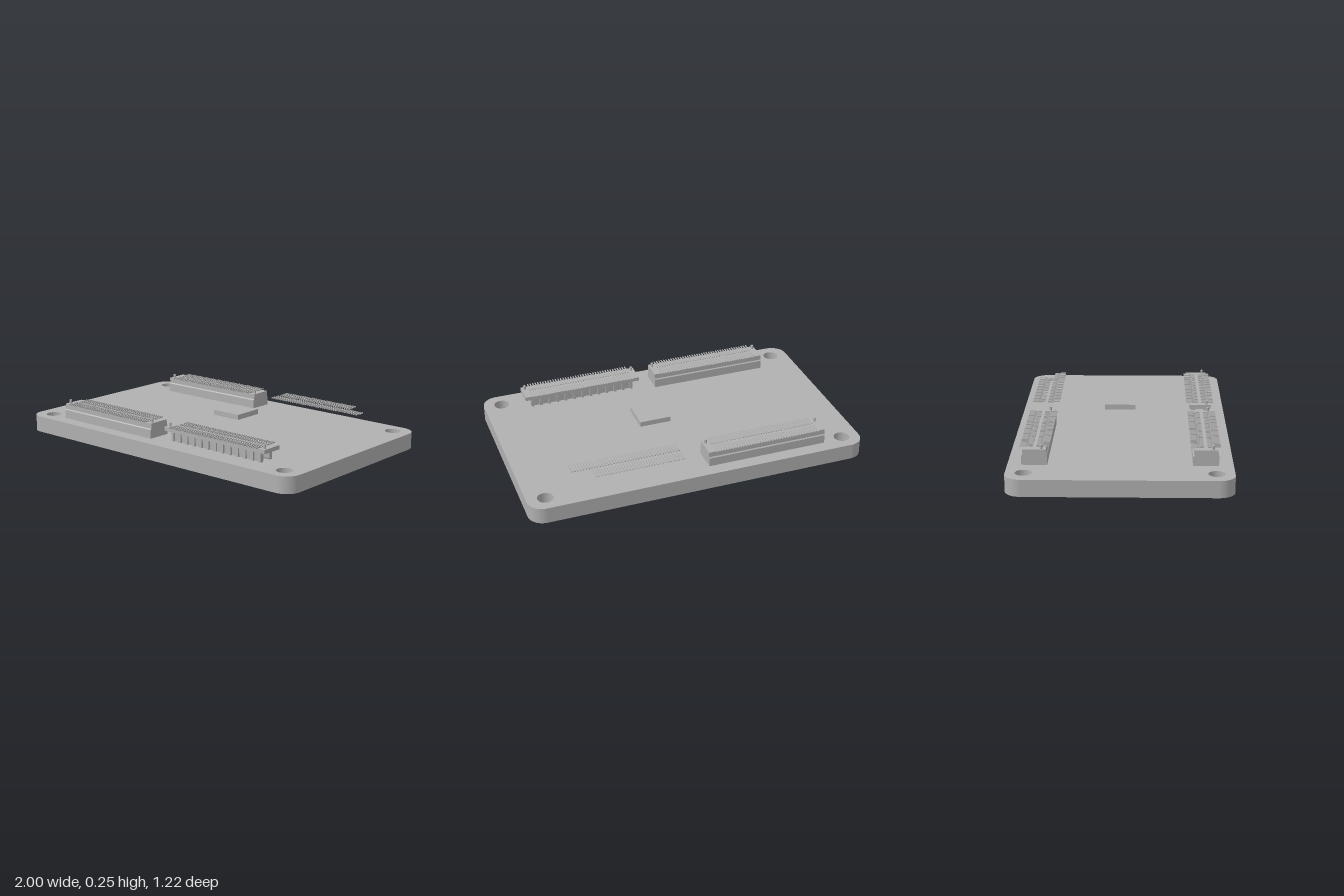
import * as THREE from 'three';
import { mergeGeometries } from 'three/addons/utils/BufferGeometryUtils.js';

const grey = new THREE.MeshStandardMaterial({ color: 0xb0b0b0 });
grey.name = 'plainGrey';

function add(parent, name, geometry) {
  const mesh = new THREE.Mesh(geometry, grey);
  mesh.name = name;
  parent.add(mesh);
  return mesh;
}

// Box given by its low and high limits on each axis
function box(x0, x1, y0, y1, z0, z1) {
  return new THREE.BoxGeometry(x1 - x0, y1 - y0, z1 - z0)
    .translate((x0 + x1) / 2, (y0 + y1) / 2, (z0 + z1) / 2);
}

// Cross-section of [z, y] points swept along x, centred on x = 0
function sweep(points, width) {
  const shape = new THREE.Shape(points.map(([z, y]) => new THREE.Vector2(z, y)));
  return new THREE.ExtrudeGeometry(shape, { depth: width, bevelEnabled: false })
    .rotateY(-Math.PI / 2).translate(width / 2, 0, 0);
}

// Rounded board with four mounting holes
function boardGeometry() {
  const w = 1, d = 0.61, r = 0.09;
  const s = new THREE.Shape();
  s.moveTo(-w + r, -d);
  s.lineTo(w - r, -d);
  s.absarc(w - r, -d + r, r, -Math.PI / 2, 0);
  s.absarc(w - r, d - r, r, 0, Math.PI / 2);
  s.absarc(-w + r, d - r, r, Math.PI / 2, Math.PI);
  s.absarc(-w + r, -d + r, r, Math.PI, Math.PI * 1.5);
  for (const x of [-0.893, 0.893]) for (const y of [-0.512, 0.512]) {
    s.holes.push(new THREE.Path().absarc(x, y, 0.045, 0, Math.PI * 2, true));
  }
  return new THREE.ExtrudeGeometry(s, { depth: 0.095, bevelEnabled: false, curveSegments: 16 })
    .rotateX(-Math.PI / 2).translate(0, 0.04, 0);
}

// One row of bent contact pins; side = +1 or -1 from the connector's centre line
const PITCH = 0.016;
function pinRow(side, count) {
  const pin = sweep([
    [0.01, 0.222], [0.03, 0.222], [0.038, 0.218], [0.048, 0.224], [0.08, 0.224],
    [0.08, 0.23], [0.046, 0.23], [0.038, 0.225], [0.03, 0.229], [0.01, 0.229],
  ], 0.006);
  if (side < 0) pin.rotateY(Math.PI);
  const pins = [];
  for (let i = 0; i < count; i++) pins.push(pin.clone().translate((i - 19.5) * PITCH, 0, 0));
  return mergeGeometries(pins);
}

function addPins(group, backCount = 40) {
  add(group, 'frontPins', pinRow(1, 40));
  add(group, 'rearPins', pinRow(-1, backCount));
}

function addPegs(group) {
  for (const x of [-0.34, 0.34]) {
    add(group, 'locatingPeg', new THREE.CylinderGeometry(0.008, 0.008, 0.025, 12).translate(x, 0.2335, 0.038));
  }
}

// Tall closed connector with a stepped housing
function socket() {
  const g = new THREE.Group();
  g.name = 'socketConnector';
  add(g, 'housing', sweep([
    [-0.07, 0.135], [0.07, 0.135], [0.07, 0.186], [0.064, 0.192], [0.064, 0.223],
    [-0.064, 0.223], [-0.064, 0.192], [-0.07, 0.186],
  ], 0.715));
  addPins(g);
  addPegs(g);
  return g;
}

// Open connector: flange with two ribbed walls hanging below it
function header() {
  const g = new THREE.Group();
  g.name = 'headerConnector';
  add(g, 'flange', box(-0.36, 0.36, 0.2, 0.223, -0.064, 0.064));
  for (const side of [-1, 1]) {
    const wall = sweep([[0.024, 0.202], [0.027, 0.15], [0.031, 0.143], [0.036, 0.143], [0.038, 0.202]], 0.645);
    if (side < 0) wall.rotateY(Math.PI);
    add(g, 'contactWall', wall);
    const ribs = [];
    for (let i = 0; i < 13; i++) {
      const x = (i - 6) * 0.0523;
      const a = side * 0.034, b = side * 0.048;
      ribs.push(box(x - 0.008, x + 0.008, 0.143, 0.202, Math.min(a, b), Math.max(a, b)));
    }
    add(g, 'wallRibs', mergeGeometries(ribs));
  }
  addPins(g);
  addPegs(g);
  return g;
}

// Contact pins without a housing
function loosePins() {
  const g = new THREE.Group();
  g.name = 'barePinRows';
  addPins(g, 33);
  return g;
}

export function createModel() {
  const model = new THREE.Group();
  model.name = 'circuitModule';

  add(model, 'board', boardGeometry());
  add(model, 'undersideChip', box(-0.16, 0.345, 0, 0.041, -0.255, 0.255));
  add(model, 'topChip', box(0.025, 0.21, 0.2, 0.23, -0.108, 0.073));

  const place = (part, x, z) => {
    part.position.set(x, 0, z);
    model.add(part);
  };
  place(socket(), -0.4125, 0.46);
  place(socket(), -0.4125, -0.464);
  place(header(), 0.4075, 0.46);
  place(loosePins(), 0.4075, -0.464);

  return model;
}
